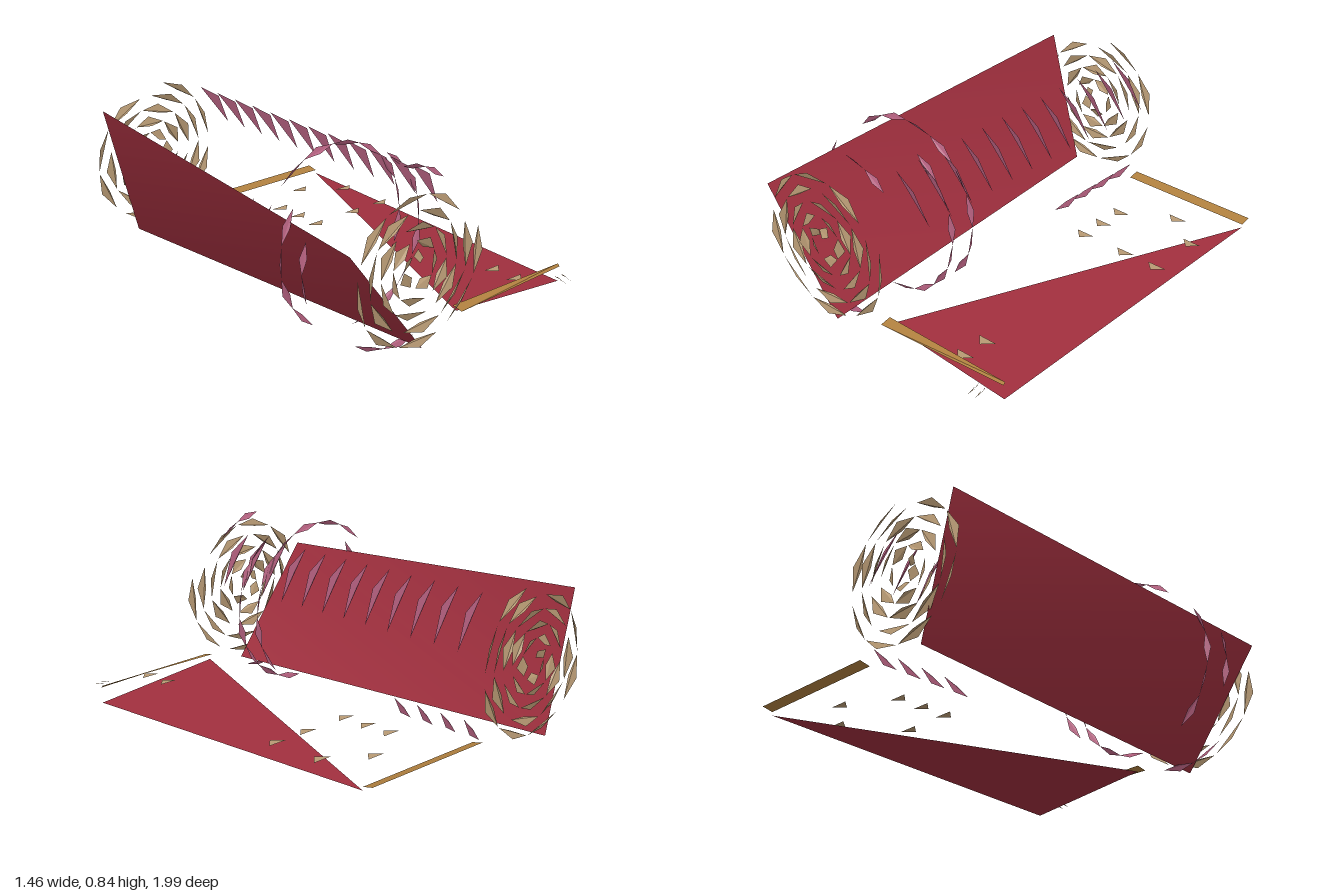
import * as THREE from 'three';

const CX = -0.31, CY = 0.425; // axis of the rolled rug
const D = Math.PI / 180;

const paint = (color) => new THREE.MeshStandardMaterial({ color, side: THREE.DoubleSide });
const RED = paint(0xa02f3e), TAN = paint(0xb89a74), PINK = paint(0xb4607f), WOOD = paint(0xb0803f);

// Mesh from a list of corner loops (triangles or quads), each split as a fan
function sheets(name, loops, material) {
  const pos = [];
  for (const loop of loops) {
    for (let i = 1; i < loop.length - 1; i++) pos.push(...loop[0], ...loop[i], ...loop[i + 1]);
  }
  const geo = new THREE.BufferGeometry();
  geo.setAttribute('position', new THREE.Float32BufferAttribute(pos, 3));
  geo.computeVertexNormals();
  const mesh = new THREE.Mesh(geo, material);
  mesh.name = name;
  return mesh;
}

const polar = (r, a, z) => [CX + r * Math.cos(a), CY + r * Math.sin(a), z];

// Pointed sliver following an arc: two tips and a wide, slightly tilted middle
function sliver(r0, r1, a0, a1, z, w, dz) {
  const m = (a0 + a1) / 2, r = (r0 + r1) / 2;
  return [polar(r0, a0, z), polar(r + w * 0.4, m, z + dz), polar(r1, a1, z), polar(r - w * 0.6, m, z - dz)];
}

// Broken spiral of slivers showing the wound layers at one end
function spiral(name, z, phase, maxR) {
  const loops = [], turns = 5, total = turns * Math.PI * 2;
  const radius = (t) => 0.05 + (maxR - 0.05) * (t / total);
  let t = 0.2;
  while (t < total - 0.7) {
    const k = t / total;
    const span = 1.15 - 0.55 * k;
    const w = 0.055 - 0.023 * k;
    const tilt = loops.length % 2 ? 0.012 : -0.012;
    loops.push(sliver(radius(t), radius(t + span), phase + t, phase + t + span, z, w, tilt));
    t += span * (loops.length % 3 ? 1.05 : 1.3);
  }
  return sheets(name, loops, TAN);
}

// Run of border slivers around the outside of the roll
function border(z, from, to, count) {
  const loops = [], step = ((to - from) * D) / count;
  for (let i = 0; i < count; i++) {
    const a = from * D + i * step;
    loops.push(sliver(0.415, 0.415, a, a + step * 1.05, z, 0.028, i % 2 ? 0.01 : -0.01));
  }
  return loops;
}

export function createModel() {
  const model = new THREE.Group();

  // Rolled part: a twisted sheet with smooth shading across its diagonal
  const roll = new THREE.BufferGeometry();
  roll.setAttribute('position', new THREE.Float32BufferAttribute([
    -0.69, 0.58, 0.93, -0.26, 0.025, 0.93, -0.60, 0.715, -0.98, -0.42, 0.04, -0.98,
  ], 3));
  roll.setIndex([0, 1, 3, 0, 3, 2]);
  roll.computeVertexNormals();
  const rollMesh = new THREE.Mesh(roll, RED);
  rollMesh.name = 'rolledSheet';
  model.add(rollMesh);

  // Unrolled part: triangular flap on the ground
  model.add(sheets('flatFlap', [[[0.02, 0.092, 0.86], [0.72, 0.03, 0.86], [0.72, 0.09, -0.9]]], RED));

  // Wound layers at both ends
  model.add(spiral('frontSpiral', 0.938, 0.6, 0.385));
  model.add(spiral('backSpiral', -0.986, 1.7, 0.375));

  // Border bands around the front of the roll
  const bands = [
    ...border(0.40, -45, 135, 8),
    ...border(0.53, -90, 60, 7),
    ...border(0.53, 145, 235, 4),
    ...border(0.81, 48, 85, 2),
    ...border(0.81, 235, 285, 2),
    ...border(0.67, 160, 200, 2),
  ];
  model.add(sheets('borderBands', bands, PINK));

  // Evenly spaced ribs on the upper and lower side of the roll
  const ribs = [];
  for (let i = 0; i < 12; i++) {
    const z = 0.67 - i * 0.1385;
    ribs.push([polar(0.405, 58 * D, z + 0.006), polar(0.425, 40 * D, z + 0.008),
      polar(0.415, 16 * D, z - 0.012), polar(0.39, 38 * D, z - 0.006)]);
    if (i > 7) {
      ribs.push([polar(0.41, -60 * D, z + 0.01), polar(0.42, -47 * D, z), polar(0.405, -32 * D, z - 0.012),
        polar(0.39, -47 * D, z - 0.004)]);
    }
  }
  model.add(sheets('borderRibs', ribs, PINK));

  // Trim strips at the two ends of the flat part
  model.add(sheets('backTrim', [[[0.01, 0.107, -0.9], [0.72, 0.107, -0.9], [0.72, 0.119, -0.955], [0.01, 0.119, -0.955]]], WOOD));
  model.add(sheets('frontTrim', [[[0.01, 0.107, 0.905], [0.72, 0.107, 0.866], [0.72, 0.119, 0.855], [0.01, 0.119, 0.85]]], WOOD));

  // Small woven triangles
  const motifs = [
    [0.2, -0.585], [0.2, -0.445], [0.2, -0.305], [0.45, -0.725], [0.45, -0.305],
    [0.64, -0.585], [0.64, -0.305], [0.45, 0.675], [0.45, 0.815],
  ].map(([x, z]) => [[x - 0.05, 0.115, z], [x, 0.115, z + 0.05], [x + 0.05, 0.115, z]]);
  model.add(sheets('wovenTriangles', motifs, TAN));

  // Loose fringe threads
  const threads = [0.625, 0.665].flatMap((x) => [
    [[x, 0.1, 0.92], [x + 0.006, 0.1, 0.93], [x + 0.008, 0.09, 0.96]],
    [[x, 0.095, 0.945], [x + 0.006, 0.09, 0.96], [x + 0.004, 0.085, 0.99]],
  ]);
  model.add(sheets('fringe', threads, TAN));

  return model;
}
